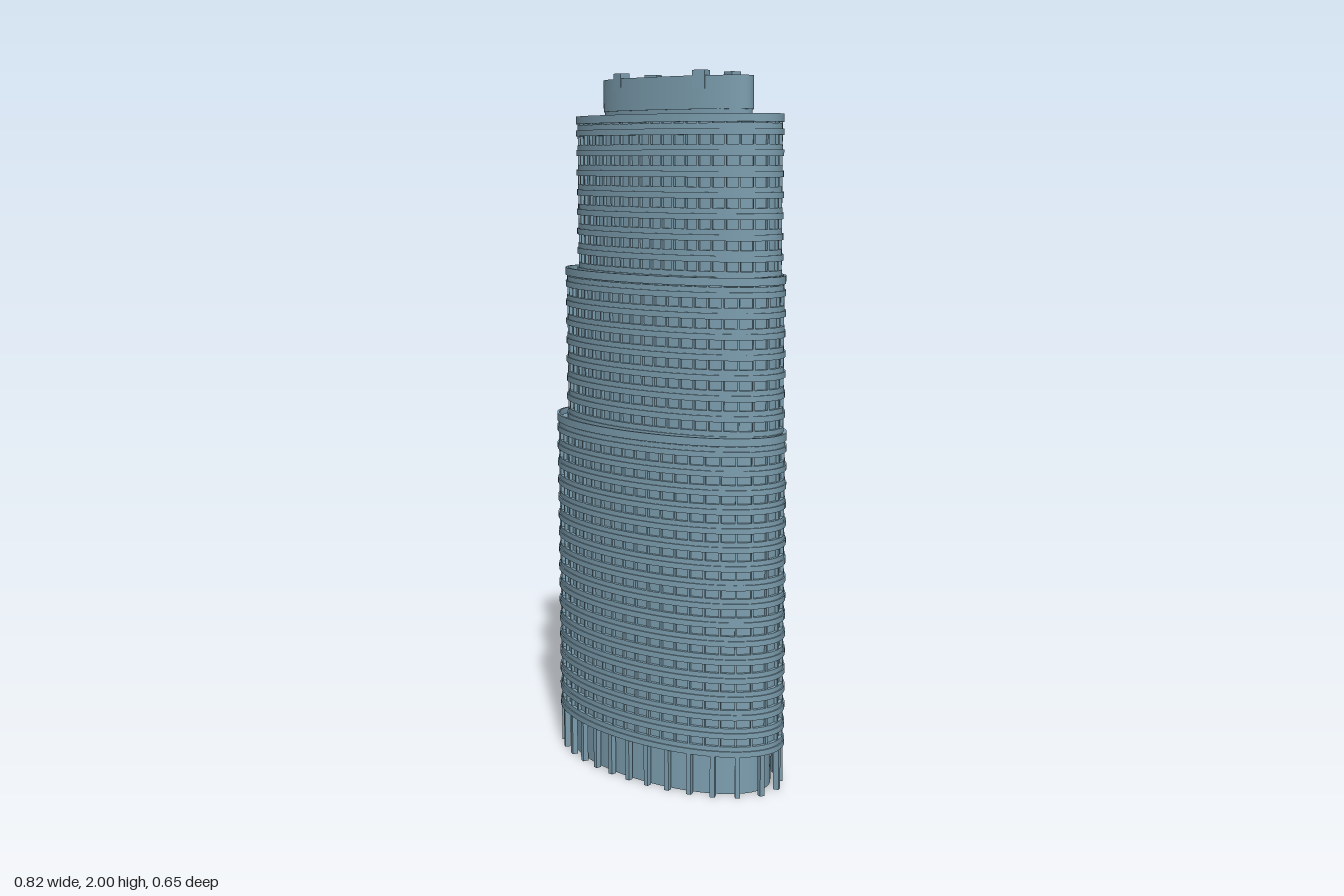
import * as THREE from 'three';

const material = new THREE.MeshStandardMaterial({ color: 0x7d9fb0 });
const SEG = 72;
const BACK = -0.1; // every tier is tangent to this plane at the rear

function add(parent, name, geometry) {
  const mesh = new THREE.Mesh(geometry, material);
  mesh.name = name;
  parent.add(mesh);
  return mesh;
}

function box(parent, name, x0, x1, y0, y1, z0, z1) {
  const g = new THREE.BoxGeometry(x1 - x0, y1 - y0, z1 - z0);
  g.translate((x0 + x1) / 2, (y0 + y1) / 2, (z0 + z1) / 2);
  return add(parent, name, g);
}

// Solid elliptical drum
function drum(parent, name, rx, rz, cz, y0, y1) {
  const g = new THREE.CylinderGeometry(1, 1, y1 - y0, SEG);
  g.scale(rx, 1, rz);
  g.translate(0, (y0 + y1) / 2, cz);
  return add(parent, name, g);
}

// Elliptical wall with an opening given by a path
function wall(parent, name, rx, rz, hole, cz, y0, y1) {
  const shape = new THREE.Shape();
  shape.absellipse(0, 0, rx, rz, 0, Math.PI * 2);
  shape.holes.push(hole);
  const g = new THREE.ExtrudeGeometry(shape, { depth: y1 - y0, bevelEnabled: false, curveSegments: SEG });
  g.rotateX(-Math.PI / 2);
  g.translate(0, y0, cz);
  return add(parent, name, g);
}

function ellipsePath(rx, rz) {
  return new THREE.Path().absellipse(0, 0, rx, rz, 0, Math.PI * 2);
}

// Upright posts spread evenly round an ellipse, facing outward
function posts(parent, name, count, rx, rz, cz, y0, y1, width, depth) {
  const group = new THREE.Group();
  group.name = name;
  // table of arc length, so the spacing is even
  const curve = new THREE.EllipseCurve(0, 0, rx, rz, 0, Math.PI * 2);
  for (let i = 0; i < count; i++) {
    const u = (i + 0.5) / count;
    const p = curve.getPointAt(u);
    const post = add(group, 'post', new THREE.BoxGeometry(width, y1 - y0, depth));
    post.position.set(p.x, (y0 + y1) / 2, cz + p.y);
    post.rotation.y = Math.atan2(p.x / (rx * rx), p.y / (rz * rz));
  }
  parent.add(group);
}

// One tower tier: recessed glazing, projecting floor bands, fins, roof parapet
function tier(parent, name, rx, rz, y0, y1, floors) {
  const group = new THREE.Group();
  group.name = name;
  const cz = BACK + rz;
  const pitch = (y1 - y0) / floors;
  drum(group, 'glazing', rx - 0.014, rz - 0.014, cz, y0 + 0.005, y1 - 0.014);
  for (let i = 0; i < floors; i++) {
    const base = y0 + i * pitch;
    drum(group, 'floorBand', rx, rz, cz, base, base + pitch * 0.3);
    drum(group, 'windowSill', rx - 0.004, rz - 0.004, cz, base + pitch * 0.3, base + pitch * 0.55);
  }
  wall(group, 'parapet', rx, rz, ellipsePath(rx - 0.007, rz - 0.007), cz, y1 - 0.022, y1);
  posts(group, 'fins', 44, rx - 0.011, rz - 0.011, cz, y0 + 0.005, y1 - 0.016, 0.006, 0.012);
  parent.add(group);
}

// Small raised windows on one side of the annex
function windows(parent, columns, rows, place) {
  for (const c of columns) {
    for (let r = 0; r < rows; r++) {
      const [x, z, alongX] = place(c);
      const g = new THREE.BoxGeometry(alongX ? 0.02 : 0.005, 0.018, alongX ? 0.005 : 0.02);
      add(parent, 'annexWindow', g).position.set(x, 0.19 + r * 0.043, z);
    }
  }
}

export function createModel() {
  const model = new THREE.Group();
  model.name = 'tower';

  // Ground floor core and colonnade
  const lobby = new THREE.Group();
  lobby.name = 'lobby';
  drum(lobby, 'lobbyCore', 0.365, 0.185, 0.112, 0, 0.13);
  posts(lobby, 'columns', 28, 0.398, 0.2, 0.112, 0, 0.125, 0.014, 0.016);
  model.add(lobby);

  // Stepped tiers
  tier(model, 'lowerTier', 0.41, 0.212, 0.12, 1.017, 17);
  tier(model, 'middleTier', 0.393, 0.194, 1.0, 1.447, 8);
  tier(model, 'upperTier', 0.37, 0.174, 1.43, 1.882, 8);

  // Crown with a lens-shaped opening
  const crown = new THREE.Group();
  crown.name = 'crown';
  const cz = 0.074;
  const lens = new THREE.Path();
  const steps = 24;
  for (let i = 0; i < steps * 2; i++) {
    const t = i < steps ? 1 - (2 * i) / steps : -1 + (2 * (i - steps)) / steps;
    const z = 0.065 * (1 - t * t) * (i < steps ? 1 : -1);
    if (i === 0) lens.moveTo(0.25 * t, z);
    else lens.lineTo(0.25 * t, z);
  }
  lens.closePath();
  drum(crown, 'crownBase', 0.274, 0.09, cz, 1.865, 1.95);
  wall(crown, 'crownWall', 0.278, 0.094, lens, cz, 1.895, 1.985);
  for (const sx of [-1, 1]) {
    for (const sz of [-1, 1]) {
      const block = add(crown, 'crownBlock', new THREE.BoxGeometry(0.04, 0.05, 0.03));
      block.position.set(sx * 0.154, 1.975, cz + sz * 0.064);
      block.rotation.y = sx * sz * 0.23;
    }
  }
  model.add(crown);

  // Rear annex: tall block, low wing and link wall
  const annex = new THREE.Group();
  annex.name = 'annex';
  box(annex, 'tallBlock', -0.41, -0.14, 0, 0.525, -0.325, -0.07);
  box(annex, 'lowWing', -0.14, 0, 0, 0.15, -0.325, -0.07);
  box(annex, 'linkWall', -0.14, 0.137, 0, 0.21, -0.102, 0);
  for (const x of [-0.41, -0.145]) box(annex, 'roofEdge', x, x + 0.005, 0.52, 0.53, -0.325, -0.07);
  for (const z of [-0.325, -0.075]) box(annex, 'roofEdge', -0.41, -0.14, 0.52, 0.53, z, z + 0.005);
  windows(annex, [-0.38, -0.17], 8, (x) => [x, -0.325, true]);
  windows(annex, [-0.38], 8, (x) => [x, -0.07, true]);
  windows(annex, [-0.3, -0.1], 8, (z) => [-0.41, z, false]);
  windows(annex, [-0.3, -0.255, -0.21, -0.165, -0.12], 8, (z) => [-0.14, z, false]);
  model.add(annex);

  return model;
}
